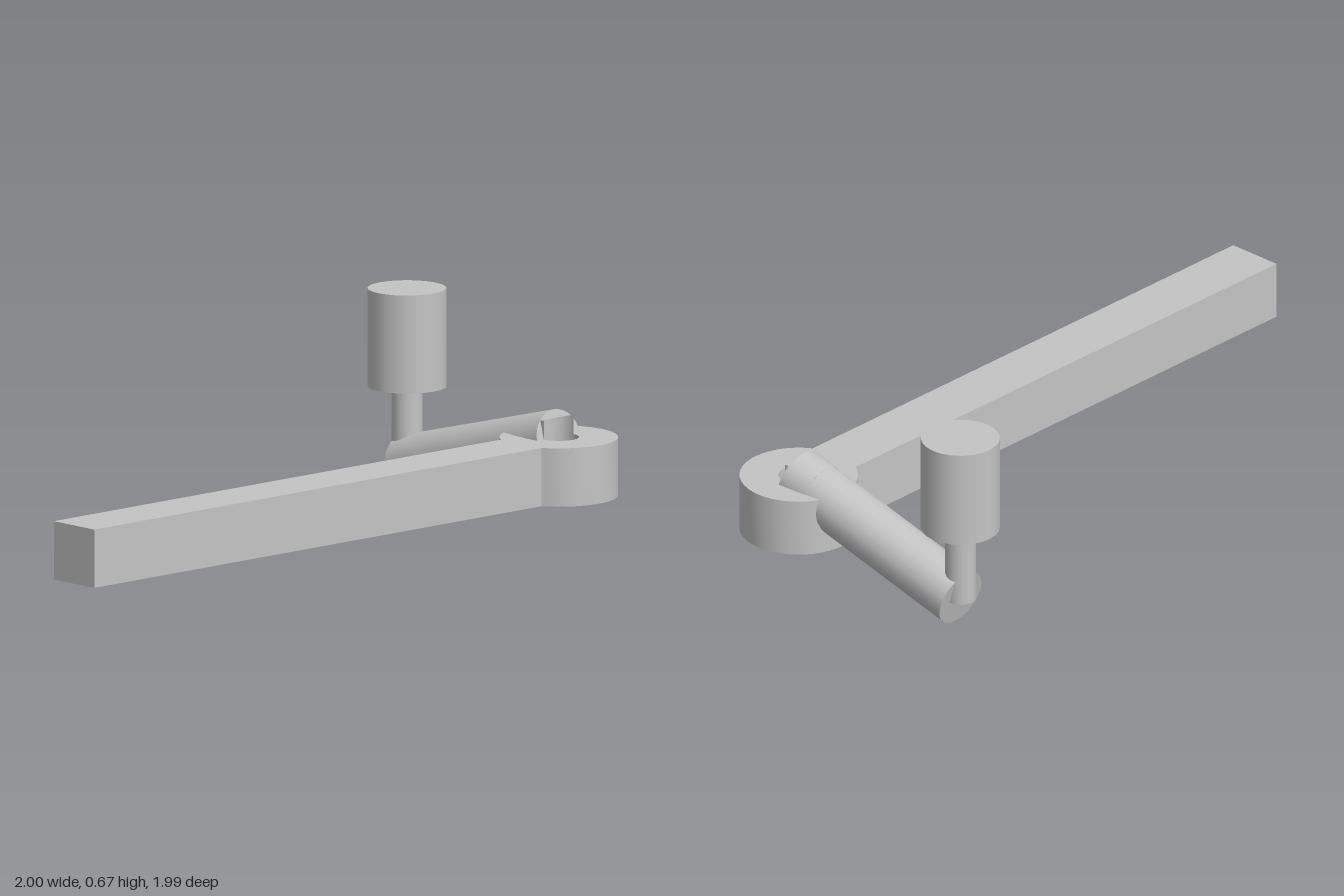
import * as THREE from 'three';
import { toCreasedNormals } from 'three/addons/utils/BufferGeometryUtils.js';

export function createModel() {
  const model = new THREE.Group();
  const grey = new THREE.MeshStandardMaterial({ color: 0xc4c4c4, side: THREE.DoubleSide });
  grey.name = 'grey';

  const add = (parent, name, geometry) => {
    const mesh = new THREE.Mesh(geometry, grey);
    mesh.name = name;
    parent.add(mesh);
  };
  const extrude = (shape, depth, curveSegments) => toCreasedNormals(
    new THREE.ExtrudeGeometry(shape, { depth, curveSegments, bevelEnabled: false }), 0.6);

  // Crank frame: origin under the hub, lever along -x, arm along -z
  const crank = new THREE.Group();
  crank.name = 'crank';
  crank.position.set(0.81, 0, -0.282);
  crank.rotation.y = 0.596;
  model.add(crank);

  const half = 0.095, hubR = 0.19, holeR = 0.065, reach = 0.711, leverEnd = -2.125;
  const low = 0.093, high = 0.28;

  // Lever bar and hub in one outline, with the shaft hole
  const outline = new THREE.Shape();
  outline.moveTo(leverEnd, half);
  outline.lineTo(leverEnd, -half);
  outline.absarc(0, 0, hubR, -Math.PI * 5 / 6, Math.PI * 5 / 6, false);
  outline.closePath();
  const hole = new THREE.Path();
  hole.absarc(0, 0, holeR, 0, Math.PI * 2, true);
  outline.holes.push(hole);
  add(crank, 'leverAndHub', extrude(outline, 0.19, 18).rotateX(-Math.PI / 2).translate(0, 0.095, 0));

  // Sloping arm from the grip up to the hub
  const arm = new THREE.Group();
  arm.name = 'arm';
  arm.position.set(0, low, -reach);
  arm.rotation.x = -Math.atan2(high - low, reach);
  crank.add(arm);
  const length = Math.hypot(reach, high - low), tip = 0.1;
  add(arm, 'armRod', new THREE.CylinderGeometry(half, half, length - tip, 20)
    .rotateX(Math.PI / 2).translate(0, 0, (length - tip) / 2));

  // Arched tip of the arm over the shaft hole
  const arch = new THREE.Shape();
  arch.moveTo(half, 0);
  arch.absarc(0, 0, half, 0, Math.PI, false);
  arch.lineTo(-holeR, 0);
  arch.lineTo(-holeR, 0.067);
  arch.lineTo(holeR, 0.067);
  arch.lineTo(holeR, 0);
  arch.closePath();
  add(arm, 'armTip', extrude(arch, tip, 10).translate(0, 0, length - tip));

  // Back wall of the shaft hole under the arch
  add(crank, 'holeWall', new THREE.CylinderGeometry(holeR, holeR, 0.06, 12, 1, true, Math.PI / 2, Math.PI)
    .translate(0, 0.315, 0));

  // Grip and its pin
  add(crank, 'gripPin', new THREE.CylinderGeometry(0.05, 0.05, 0.27, 20).translate(0, 0.228, -reach));
  add(crank, 'grip', new THREE.CylinderGeometry(0.127, 0.127, 0.32, 24).translate(0, 0.508, -reach));

  return model;
}
